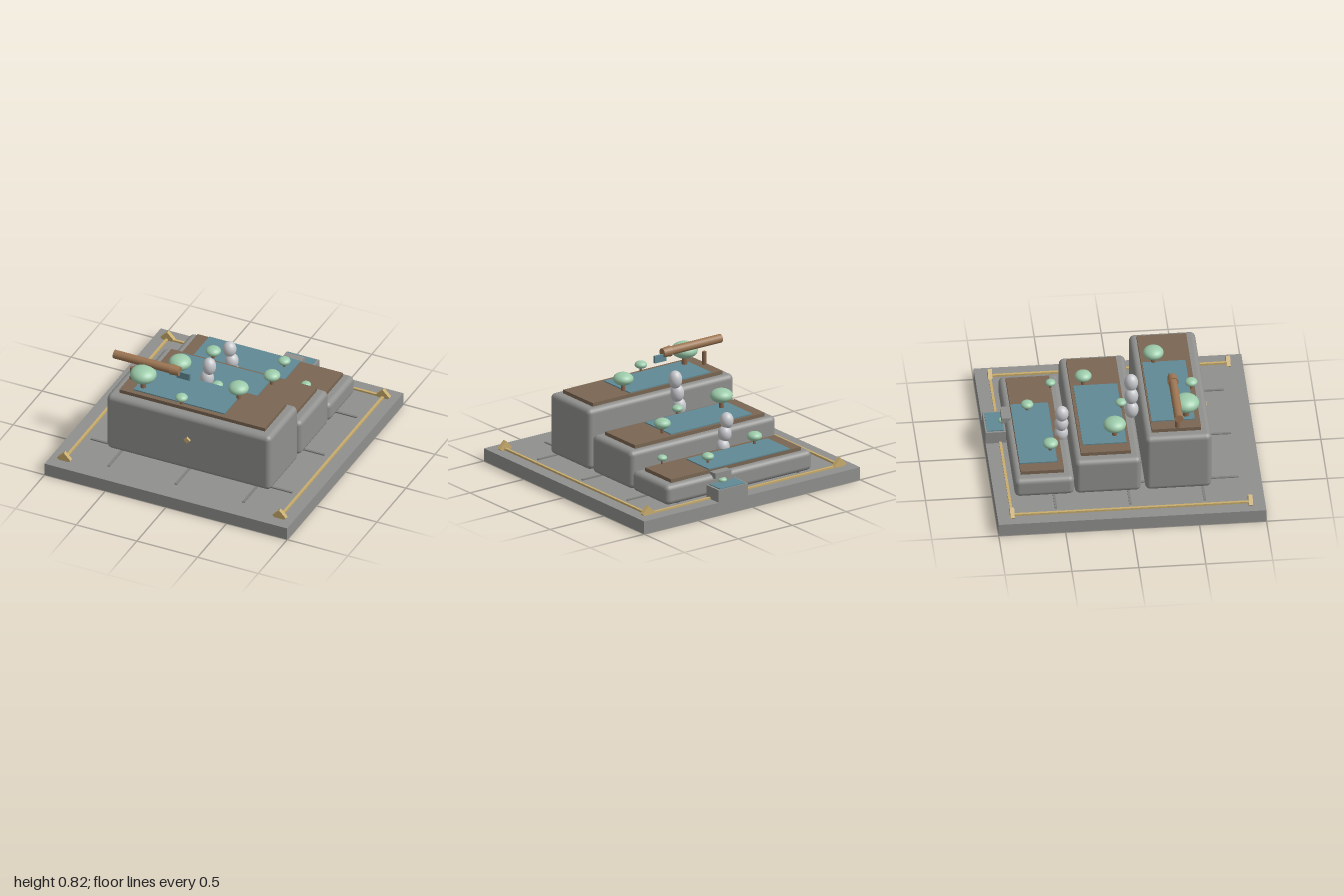
import * as THREE from 'three';
import { RoundedBoxGeometry } from 'three/addons/geometries/RoundedBoxGeometry.js';

const mat = (name, color) => Object.assign(new THREE.MeshStandardMaterial({ color }), { name });

export function createModel() {
  const M = {
    stone: mat('grey stone', 0x8f8f8d),
    joint: mat('joint grey', 0x80807e),
    soil: mat('soil brown', 0x7a6652),
    water: mat('water blue', 0x5f8995),
    wood: mat('trunk brown', 0x86644a),
    bamboo: mat('pipe brown', 0x9c7552),
    brass: mat('brass', 0xc8ac6c),
    leaf: mat('leaf green', 0x9ccbaa),
    pebble: mat('pale pebble', 0xc6c7cb),
  };
  const root = new THREE.Group();
  root.name = 'terracedGarden';

  const add = (name, geo, m, x, y, z, parent = root) => {
    const mesh = new THREE.Mesh(geo, m);
    mesh.name = name;
    mesh.position.set(x, y, z);
    parent.add(mesh);
    return mesh;
  };
  // box given by its extents on each axis
  const block = (name, m, [x0, x1], [y0, y1], [z0, z1], parent) =>
    add(name, new THREE.BoxGeometry(x1 - x0, y1 - y0, z1 - z0), m,
      (x0 + x1) / 2, (y0 + y1) / 2, (z0 + z1) / 2, parent);

  // square standing on its corner
  const diamond = (name, half, depth, x, y, z) => {
    const side = half * Math.SQRT2;
    add(name, new THREE.BoxGeometry(side, side, depth), M.brass, x, y, z).rotation.z = Math.PI / 4;
  };

  // flat-crowned tree on a short trunk
  const tree = (x, ground, z, r) => {
    const g = new THREE.Group();
    g.name = 'tree';
    g.position.set(x, ground, z);
    root.add(g);
    const h = r * 1.2;
    add('trunk', new THREE.CylinderGeometry(r * 0.17, r * 0.23, h, 10), M.wood, 0, h / 2, 0, g);
    add('crown', new THREE.SphereGeometry(r, 24, 16), M.leaf, 0, h, 0, g).scale.y = 0.62;
  };

  // base slab with joint lines
  block('base', M.stone, [-1, 1], [0, 0.1], [-1, 1]);
  for (const p of [-0.556, 0, 0.556]) {
    block('crossJoint', M.joint, [-0.83, 0.83], [0.1, 0.109], [p - 0.009, p + 0.009]);
    block('longJoint', M.joint, [p - 0.009, p + 0.009], [0.1, 0.108], [-0.83, 0.83]);
  }

  // terraces with soil bed, pond and trees
  const tiers = [
    { z: [0.127, 0.622], top: 0.58, soil: [0.18, 0.55], pond: [0.19, 0.512],
      trees: [[-0.45, 0.45, 0.1], [0.25, 0.272, 0.077], [-0.1, 0.522, 0.047]] },
    { z: [-0.398, 0.097], top: 0.4, soil: [-0.348, 0.025], pond: [-0.335, 0.013],
      trees: [[-0.4, -0.078, 0.085], [0.275, -0.25, 0.063], [-0.052, 0.003, 0.042]] },
    { z: [-0.848, -0.403], top: 0.26, soil: [-0.798, -0.473], pond: [-0.796, -0.515],
      trees: [[-0.353, -0.553, 0.057], [0.172, -0.678, 0.047], [0.447, -0.478, 0.038]] },
  ];
  for (const t of tiers) {
    const bottom = 0.103;
    add('terrace', new RoundedBoxGeometry(1.352, t.top - bottom, t.z[1] - t.z[0], 3, 0.04), M.stone,
      0, (t.top + bottom) / 2, (t.z[0] + t.z[1]) / 2);
    const ground = t.top + 0.028;
    block('soilBed', M.soil, [-0.6, 0.6], [t.top - 0.005, ground], t.soil);
    block('pond', M.water, [-0.502, 0.25], [ground, ground + 0.008], t.pond);
    for (const [x, z, r] of t.trees) tree(x, ground, z, r);
  }
  // pond of the middle terrace stops short of the front of its bed
  root.children.filter((c) => c.name === 'pond')[1].scale.z = 0.94;

  // leaning stacks of egg-shaped pebbles between the terraces
  const stack = (x, y, z, dx, dy, ry) => {
    for (let i = 0; i < 3; i++) {
      add('pebble', new THREE.SphereGeometry(0.052, 24, 16), M.pebble, x + dx * i, y + dy * i, z)
        .scale.y = ry / 0.052;
    }
  };
  stack(-0.122, 0.46, 0.075, 0.018, 0.109, 0.07);
  stack(-0.135, 0.29, -0.452, -0.018, 0.1, 0.062);

  // brass rails and corner markers
  for (const s of [-1, 1]) {
    block('sideRail', M.brass, [s * 0.89 - 0.01, s * 0.89 + 0.01], [0.1, 0.115], [-0.89, 0.89]);
    for (const t of [-1, 1]) diamond('cornerMarker', 0.056, 0.032, s * 0.888, 0.115, t * 0.89);
  }
  block('backRail', M.brass, [-0.89, 0.89], [0.1, 0.114], [-0.9, -0.88]);
  diamond('frontStud', 0.025, 0.02, 0, 0.38, 0.635);

  // catch basin at the back with spill lip and bush
  block('basin', M.stone, [0.04, 0.31], [0.1, 0.197], [-1, -0.846]);
  block('basinWater', M.water, [0.058, 0.29], [0.197, 0.203], [-0.988, -0.86]);
  block('spillLip', M.stone, [0.097, 0.248], [0.236, 0.28], [-0.874, -0.808]);
  add('basinBush', new THREE.SphereGeometry(0.034, 20, 14), M.leaf, 0.172, 0.212, -0.86).scale.y = 0.62;

  // water pipe with collar, post and falling water
  const pipe = (name, r0, r1, x0, x1) =>
    add(name, new THREE.CylinderGeometry(r0, r1, x1 - x0, 20), M.bamboo, (x0 + x1) / 2, 0.782, 0.372)
      .rotation.z = Math.PI / 2;
  pipe('pipe', 0.033, 0.033, -0.725, -0.22);
  pipe('pipeCollar', 0.041, 0.034, -0.257, -0.185);
  add('pipePost', new THREE.CylinderGeometry(0.016, 0.018, 0.1, 12), M.wood, -0.578, 0.658, 0.375);
  block('spoutWater', M.water, [-0.212, -0.105], [0.72, 0.775], [0.352, 0.372]);

  return root;
}
